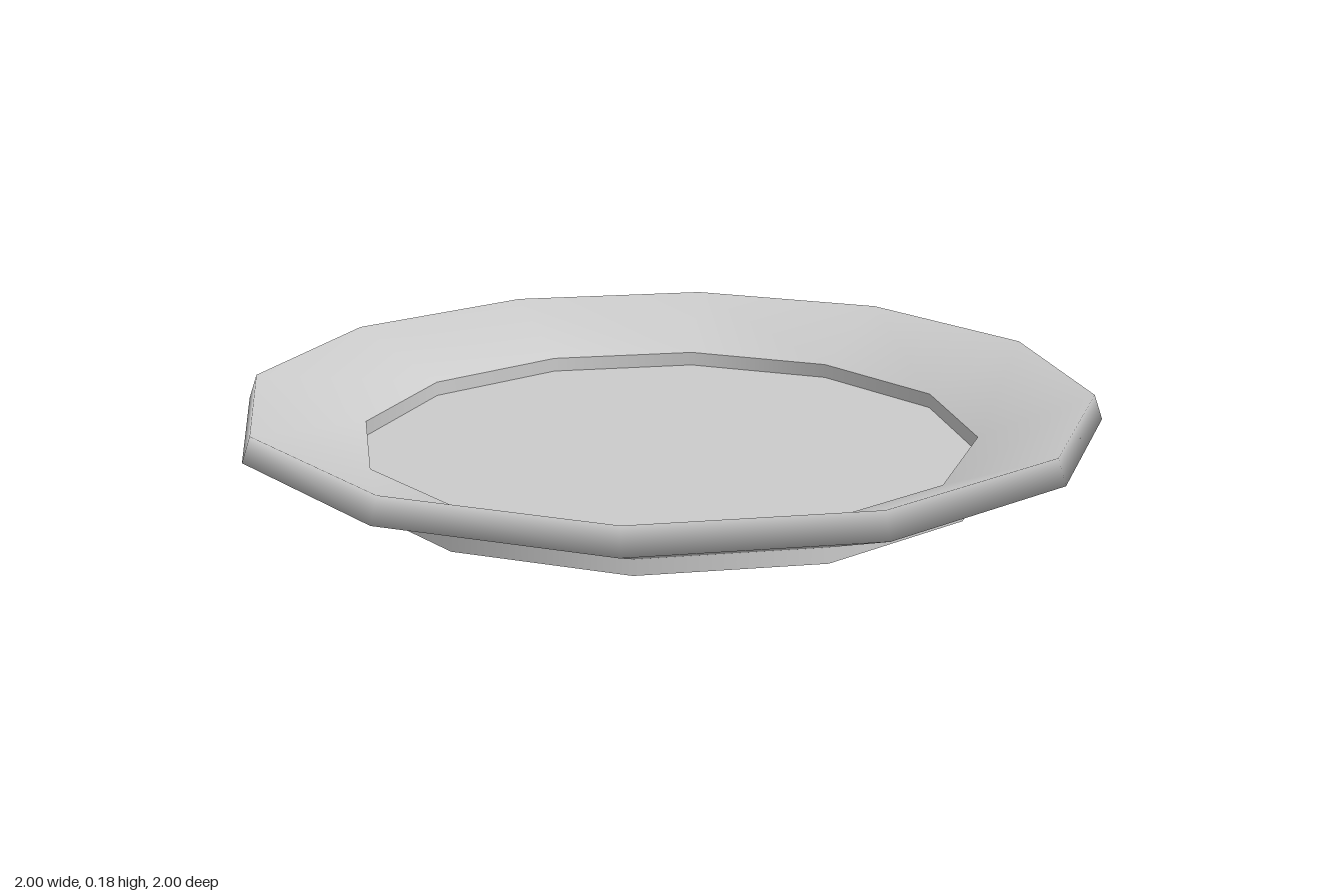
import * as THREE from 'three';

const SIDES = 12;

export function createModel() {
  const plate = new THREE.Group();
  plate.name = 'plate';
  const glaze = new THREE.MeshStandardMaterial({ color: 0xcccccc });
  glaze.name = 'pale grey glaze';

  const add = (name, geometry) => {
    const mesh = new THREE.Mesh(geometry, glaze);
    mesh.name = name;
    plate.add(mesh);
    return mesh;
  };

  // Turns a profile of [radius, height] points into a twelve-sided ring
  const ring = (name, points) =>
    add(name, new THREE.LatheGeometry(points.map(([r, y]) => new THREE.Vector2(r, y)), SIDES));

  // Flat twelve-sided disc facing up (1) or down (-1)
  const disc = (name, radius, y, facing) => {
    const geometry = new THREE.CircleGeometry(radius, SIDES);
    geometry.rotateX(-facing * Math.PI / 2);
    geometry.translate(0, y, 0);
    return add(name, geometry);
  };

  // Sloping rim: underside, lip and inner slope, softly shaded throughout
  ring('rim', [[0.77, 0.035], [1, 0.123], [0.98, 0.18], [0.72, 0.072]]);

  // Low foot under the plate
  ring('footWall', [[0.77, 0], [0.77, 0.035]]);
  disc('footUnderside', 0.77, 0, -1);

  // Sunken eating surface with its upright step
  ring('wellStep', [[0.72, 0.072], [0.72, 0.037]]);
  disc('wellFloor', 0.72, 0.037, 1);

  return plate;
}
